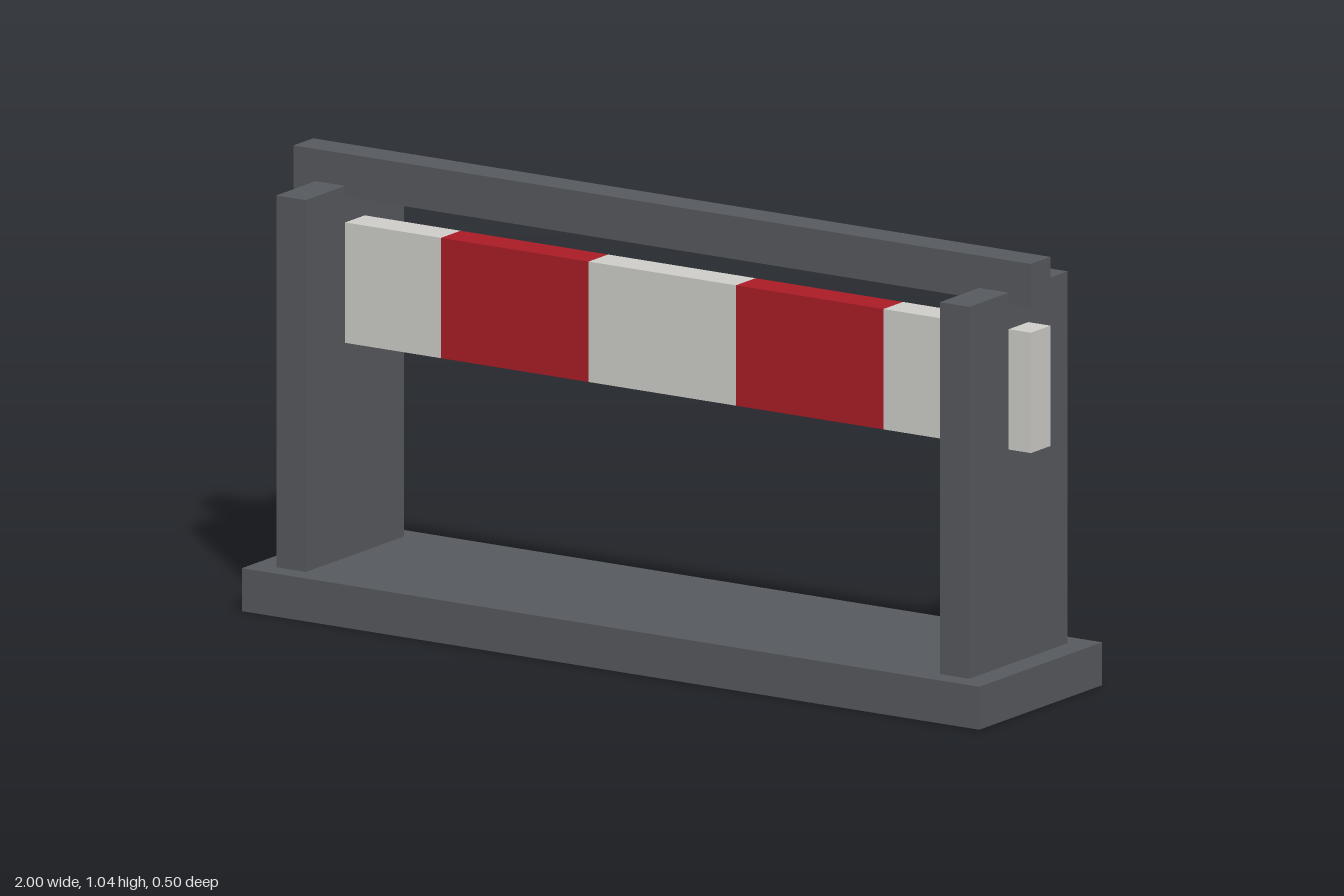
import * as THREE from 'three';

const steel = new THREE.MeshStandardMaterial({ color: 0x575a5f });
const red = new THREE.MeshStandardMaterial({ color: 0xab1c26 });
const white = new THREE.MeshStandardMaterial({ color: 0xd0cfcb });

// Box centred on x and z = 0, spanning y0 to y1
function block(name, material, x, width, y0, y1, depth) {
  const mesh = new THREE.Mesh(new THREE.BoxGeometry(width, y1 - y0, depth), material);
  mesh.position.set(x, (y0 + y1) / 2, 0);
  mesh.name = name;
  return mesh;
}

export function createModel() {
  const model = new THREE.Group();
  model.name = 'barrier';

  // Ground plate and top rail
  model.add(block('base', steel, 0, 2, 0, 0.1, 0.5));
  model.add(block('topRail', steel, 0, 2, 0.94, 1.04, 0.08));

  // Upright at each end
  model.add(block('leftPost', steel, 0.9, 0.08, 0.1, 0.965, 0.4));
  model.add(block('rightPost', steel, -0.9, 0.08, 0.1, 0.965, 0.4));

  // Warning board of five alternating segments, passing through the posts
  const board = new THREE.Group();
  board.name = 'stripedBoard';
  for (let i = 0; i < 5; i++) {
    const isRed = i % 2 === 1;
    board.add(block(isRed ? 'redStripe' : 'whiteStripe', isRed ? red : white,
      -0.8 + i * 0.4, 0.4, 0.6, 0.88, 0.08));
  }
  model.add(board);

  return model;
}
